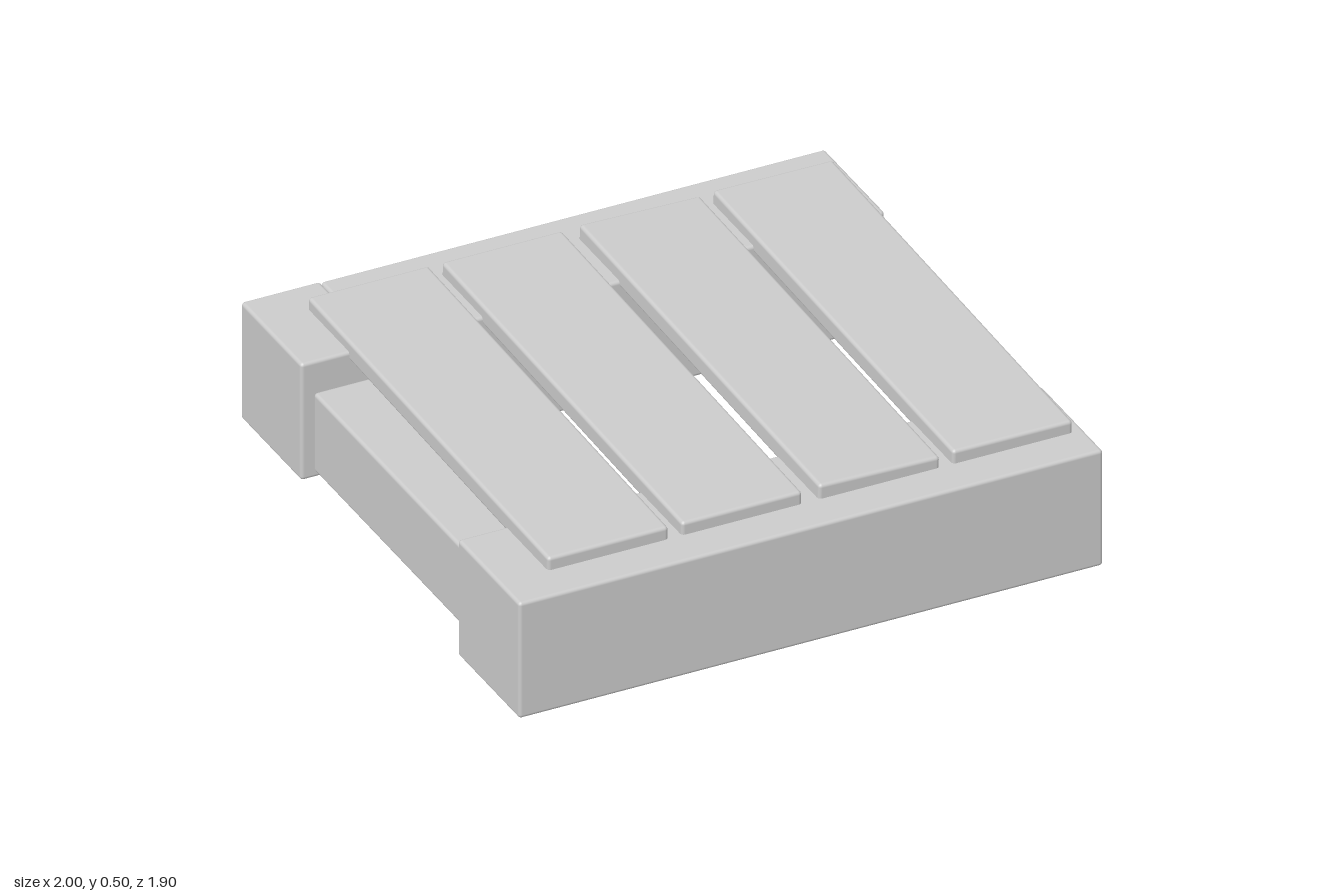
import * as THREE from 'three';
import { RoundedBoxGeometry } from 'three/addons/geometries/RoundedBoxGeometry.js';

const material = new THREE.MeshStandardMaterial({ color: 0xcccccc });

// Softly bevelled timber spanning [min, max] on each axis
function timber(name, [x0, x1], [y0, y1], [z0, z1], bevel = 0.012) {
  const geometry = new RoundedBoxGeometry(x1 - x0, y1 - y0, z1 - z0, 2, bevel);
  const mesh = new THREE.Mesh(geometry, material);
  mesh.name = name;
  mesh.position.set((x0 + x1) / 2, (y0 + y1) / 2, (z0 + z1) / 2);
  return mesh;
}

export function createModel() {
  const model = new THREE.Group();
  model.name = 'palletPlatform';

  // Two heavy cross beams; the rear one has a separate end block
  model.add(
    timber('frontBeam', [-1, 0.995], [0.005, 0.42], [0.527, 0.947]),
    timber('rearBeam', [-0.728, 0.995], [0.04, 0.455], [-0.95, -0.54]),
    timber('rearEndBlock', [-1, -0.73], [0.04, 0.458], [-0.95, -0.538])
  );

  // Side beam joining the two on one side only
  model.add(timber('sideBeam', [-0.96, -0.56], [0.07, 0.35], [-0.535, 0.51]));

  // Four deck slats, leaning down toward the front, one slightly rolled
  const slats = [
    [-0.835, -0.423, 0],
    [-0.378, 0.033, 0],
    [0.09, 0.503, -0.025],
    [0.547, 0.957, -0.008],
  ];
  slats.forEach(([x0, x1, roll], i) => {
    const slat = timber(`deckSlat${i + 1}`, [x0, x1], [0.416, 0.482], [-0.823, 0.815]);
    slat.rotation.set(0.0213, 0, roll);
    model.add(slat);
  });

  return model;
}
